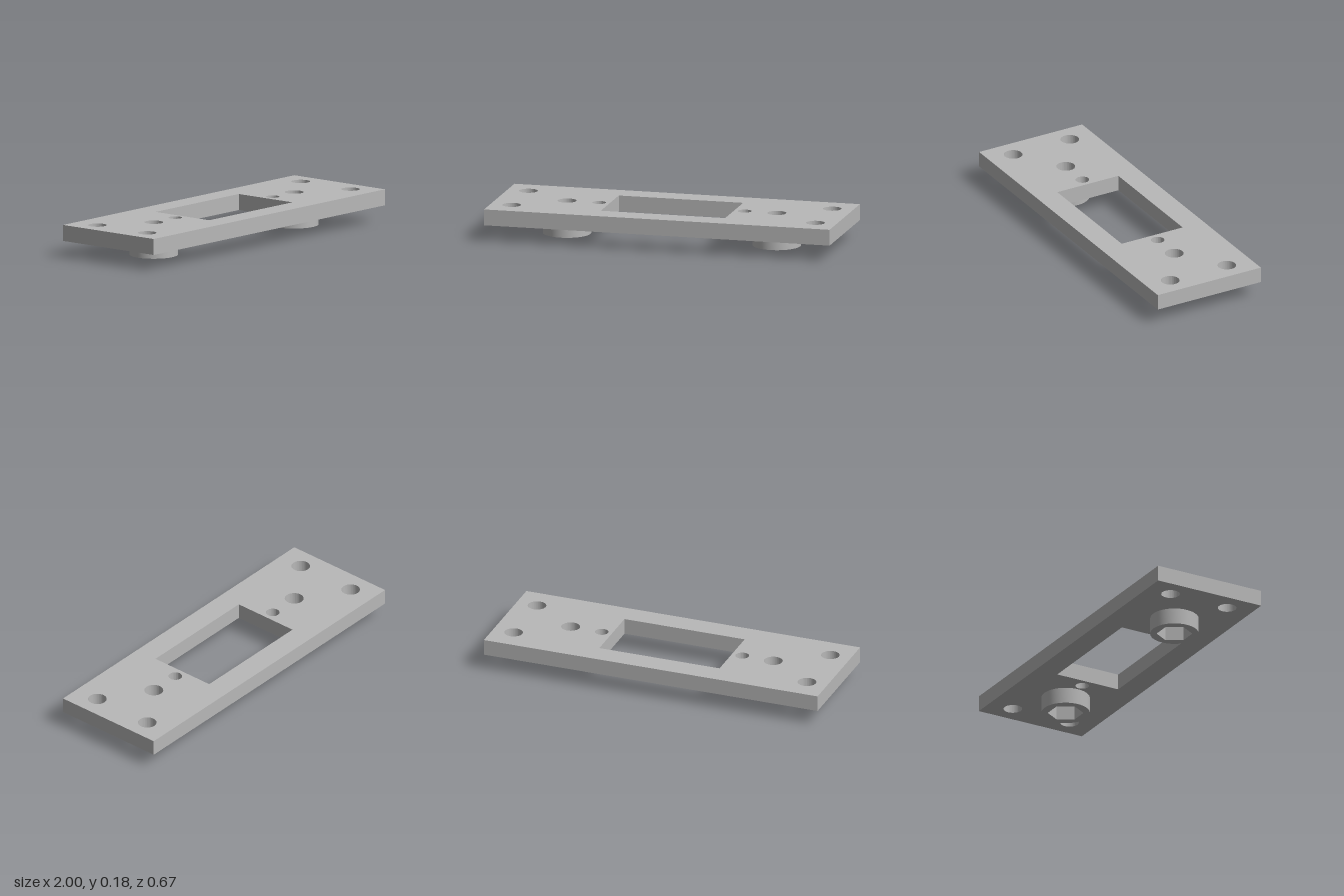
import * as THREE from 'three';
import { toCreasedNormals } from 'three/addons/utils/BufferGeometryUtils.js';

const PLATE_BOTTOM = 0.092;
const PLATE_TOP = 0.183;
const BOSS_X = 0.607;

function circle(x, z, r, Type = THREE.Path) {
  return new Type().absarc(x, z, r, 0, Math.PI * 2, false);
}

function polygon(points, Type = THREE.Path) {
  return new Type(points.map(([x, z]) => new THREE.Vector2(x, z)));
}

function rectangle(hx, hz, Type) {
  return polygon([[-hx, -hz], [hx, -hz], [hx, hz], [-hx, hz]], Type);
}

// Extrude a plan outline upwards from y0 to y1, keeping hard edges sharp
function slab(shape, y0, y1) {
  const geometry = new THREE.ExtrudeGeometry(shape, {
    depth: y1 - y0, bevelEnabled: false, curveSegments: 32,
  });
  geometry.rotateX(-Math.PI / 2).translate(0, y0, 0);
  return toCreasedNormals(geometry, Math.PI / 6);
}

export function createModel() {
  const group = new THREE.Group();
  group.name = 'mountingPlate';
  const grey = new THREE.MeshStandardMaterial({ color: 0xb8b8b8 });
  grey.name = 'grey';

  const add = (name, geometry) => {
    const mesh = new THREE.Mesh(geometry, grey);
    mesh.name = name;
    group.add(mesh);
    return mesh;
  };

  // Plate with the central window and all screw holes
  const plate = rectangle(1, 0.333, THREE.Shape);
  plate.holes.push(rectangle(0.36, 0.197));
  for (const side of [-1, 1]) {
    plate.holes.push(
      circle(side * 0.879, 0.183, 0.052),
      circle(side * 0.879, -0.183, 0.052),
      circle(side * BOSS_X, 0, 0.053),
      circle(side * 0.421, 0, 0.038),
    );
  }
  add('plate', slab(plate, PLATE_BOTTOM, PLATE_TOP));

  // Round bosses underneath, each with a hexagonal nut pocket
  const boss = circle(0, 0, 0.136, THREE.Shape);
  const hexagon = Array.from({ length: 6 }, (_, i) => {
    const a = (i * Math.PI) / 3;
    return [0.1 * Math.cos(a), 0.1 * Math.sin(a)];
  });
  boss.holes.push(polygon(hexagon));
  const bossGeometry = slab(boss, 0, PLATE_BOTTOM);
  add('leftBoss', bossGeometry).position.x = BOSS_X;
  add('rightBoss', bossGeometry).position.x = -BOSS_X;

  return group;
}
